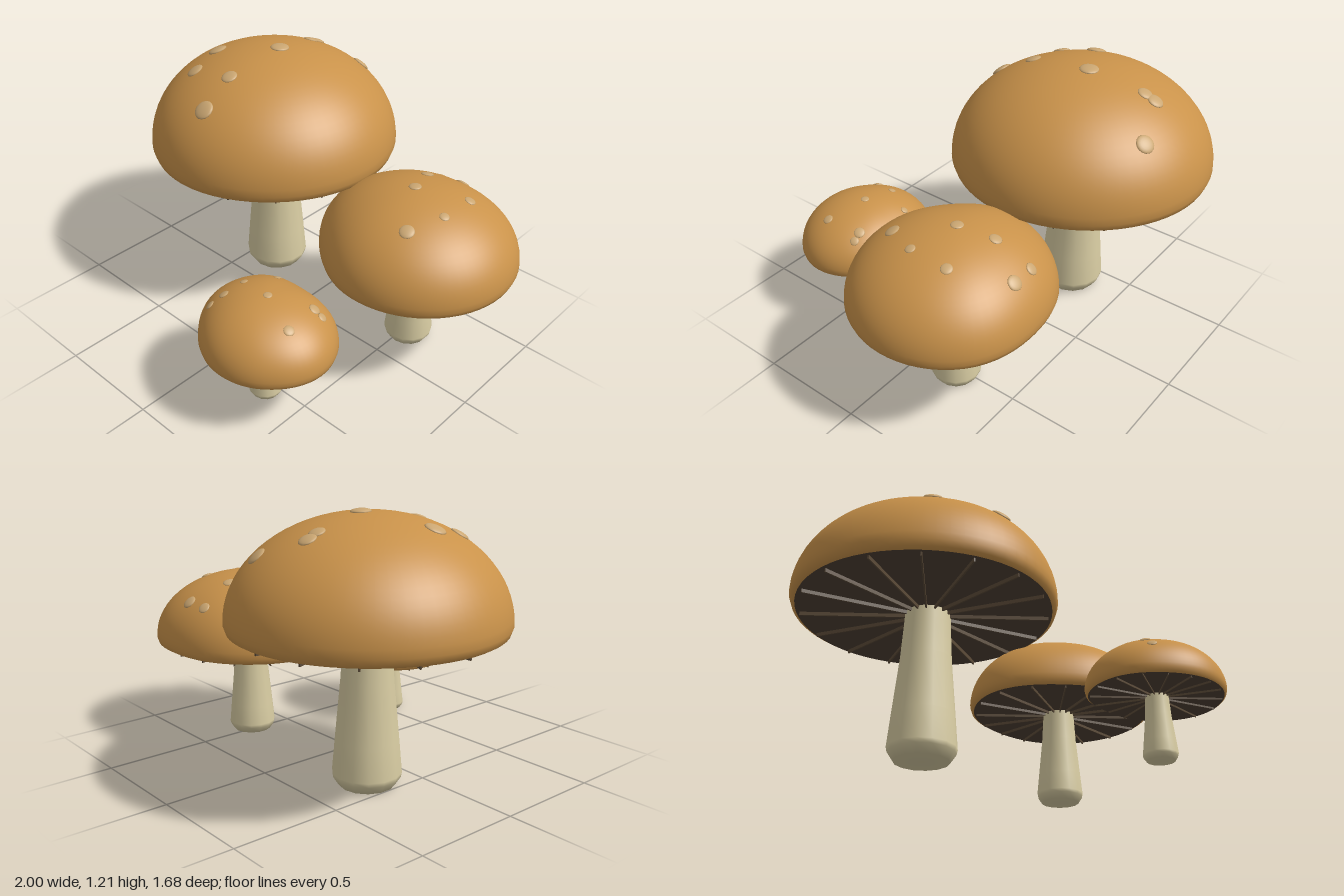
import * as THREE from 'three';
import { mergeVertices } from 'three/addons/utils/BufferGeometryUtils.js';

const mat = (color) => new THREE.MeshStandardMaterial({ color });
const capMat = mat(0xc9924a), stemMat = mat(0xd9cda3), underMat = mat(0x4e4034);
const gillMat = mat(0x5c4b38), spotMat = mat(0xcaa672);

// radii: cap outline radius every 45 degrees, from +x towards +z
// spots: [x, z, radius] in world space
const mushrooms = [
  {
    name: 'largeMushroom', x: -0.38, z: -0.22, rimY: 0.705, midY: 0.745, topY: 1.195,
    radii: [0.6, 0.6, 0.612, 0.602, 0.62, 0.625, 0.62, 0.602],
    stemX: -0.375, stemBase: 0.155, stemTop: 0.107, footY: 0.06,
    spots: [[-0.42, -0.57, 0.039], [-0.415, -0.52, 0.036], [-0.2, -0.655, 0.043], [-0.37, -0.255, 0.045],
      [-0.655, -0.115, 0.046], [-0.625, 0.06, 0.042], [-0.385, 0.06, 0.038], [-0.37, 0.235, 0.047]],
  },
  {
    name: 'mediumMushroom', x: 0.525, z: -0.2, rimY: 0.46, midY: 0.49, topY: 0.815,
    radii: [0.472, 0.465, 0.45, 0.43, 0.472, 0.452, 0.43, 0.465],
    stemX: 0.525, stemBase: 0.113, stemTop: 0.08, footY: 0.045,
    spots: [[0.42, -0.525, 0.028], [0.54, -0.53, 0.034], [0.45, -0.365, 0.029], [0.5, -0.205, 0.029],
      [0.71, -0.325, 0.026], [0.71, -0.135, 0.023], [0.64, -0.035 + 0.065, 0.034]],
  },
  {
    name: 'smallMushroom', x: 0.305, z: 0.545, rimY: 0.295, midY: 0.32, topY: 0.537,
    radii: [0.338, 0.312, 0.29, 0.285, 0.317, 0.318, 0.283, 0.315],
    stemX: 0.305, stemBase: 0.077, stemTop: 0.053, footY: 0.03,
    spots: [[0.215, 0.37, 0.018], [0.475, 0.415, 0.026], [0.515, 0.41, 0.021], [0.15, 0.51, 0.018],
      [0.315, 0.53, 0.02], [0.5, 0.595, 0.024], [0.135, 0.615, 0.023], [0.105, 0.67, 0.022]],
  },
];

// Smooth periodic outline through the eight radii
function outlineRadius(radii, angle) {
  const f = ((angle / (Math.PI / 4)) % 8 + 8) % 8, i = Math.floor(f), t = f - i;
  const [a, b, c, d] = [-1, 0, 1, 2].map((k) => radii[(i + k + 8) % 8]);
  return b + 0.5 * t * (c - a + t * (2 * a - 5 * b + 4 * c - d + t * (3 * (b - c) + d - a)));
}

// Unit-radius lathe stretched to the irregular outline, welded for smooth normals
function wobblyLathe(profile, radii) {
  let geo = new THREE.LatheGeometry(profile.map(([r, y]) => new THREE.Vector2(r, y)), 64);
  const p = geo.attributes.position;
  for (let i = 0; i < p.count; i++) {
    const s = outlineRadius(radii, Math.atan2(p.getZ(i), p.getX(i)));
    p.setX(i, p.getX(i) * s);
    p.setZ(i, p.getZ(i) * s);
  }
  geo.deleteAttribute('uv');
  geo.deleteAttribute('normal');
  geo = mergeVertices(geo, 1e-5);
  geo.computeVertexNormals();
  return geo;
}

function add(parent, name, geo, material) {
  const mesh = new THREE.Mesh(geo, material);
  mesh.name = name;
  parent.add(mesh);
  return mesh;
}

function buildMushroom(m) {
  const group = new THREE.Group();
  group.name = m.name;
  group.position.set(m.x, 0, m.z);
  const size = m.radii.reduce((a, b) => a + b) / 8;
  const height = m.topY - m.midY;

  // Domed cap with a rolled rim
  const dome = [[0.955, m.rimY], [0.983, m.rimY + (m.midY - m.rimY) * 0.25]];
  for (let i = 0; i <= 20; i++) {
    const a = (i / 20) * Math.PI / 2;
    dome.push([i === 20 ? 0 : Math.cos(a), m.midY + height * Math.sin(a)]);
  }
  add(group, 'cap', wobblyLathe(dome, m.radii), capMat);

  // Flat underside
  add(group, 'capUnderside', wobblyLathe([[0, m.rimY], [0.5, m.rimY], [0.956, m.rimY]], m.radii), underMat);

  // Radial gills
  const gills = new THREE.Group();
  gills.name = 'gills';
  group.add(gills);
  for (let i = 0; i < 16; i++) {
    const a = (i / 16) * Math.PI * 2;
    const inner = m.stemTop * 0.8, outer = outlineRadius(m.radii, a) * 0.93;
    const gill = add(gills, 'gill', new THREE.BoxGeometry(outer - inner, size * 0.04, size * 0.012), gillMat);
    const r = (inner + outer) / 2;
    gill.position.set(Math.cos(a) * r, m.rimY - size * 0.008, Math.sin(a) * r);
    gill.rotation.y = -a;
  }

  // Tapered stem with a bevelled foot
  const b = m.stemBase, t = m.stemTop, y = m.rimY;
  const profile = [[0, 0], [b * 0.8, 0], [b * 0.97, m.footY * 0.65], [b, m.footY],
    [b * 0.72 + t * 0.28, y * 0.3], [b * 0.2 + t * 0.8, y * 0.68], [t, y * 0.92], [t * 0.97, y + 0.01]];
  const stem = add(group, 'stem',
    new THREE.LatheGeometry(profile.map(([r, h]) => new THREE.Vector2(r, h)), 14), stemMat);
  stem.position.x = m.stemX - m.x;

  // Flattened spots lying on the dome
  const spots = new THREE.Group();
  spots.name = 'spots';
  group.add(spots);
  const up = new THREE.Vector3(0, 1, 0);
  for (const [sx, sz, r] of m.spots) {
    const x = sx - m.x, z = sz - m.z;
    const R = outlineRadius(m.radii, Math.atan2(z, x));
    const rise = height * Math.sqrt(1 - (x * x + z * z) / (R * R));
    const spot = add(spots, 'spot', new THREE.SphereGeometry(r, 16, 10), spotMat);
    spot.position.set(x, m.midY + rise, z);
    const normal = new THREE.Vector3(x / (R * R), rise / (height * height), z / (R * R)).normalize();
    spot.quaternion.setFromUnitVectors(up, normal);
    spot.scale.y = 0.28;
  }
  return group;
}

export function createModel() {
  const model = new THREE.Group();
  model.name = 'mushroomCluster';
  mushrooms.forEach((m) => model.add(buildMushroom(m)));
  return model;
}
